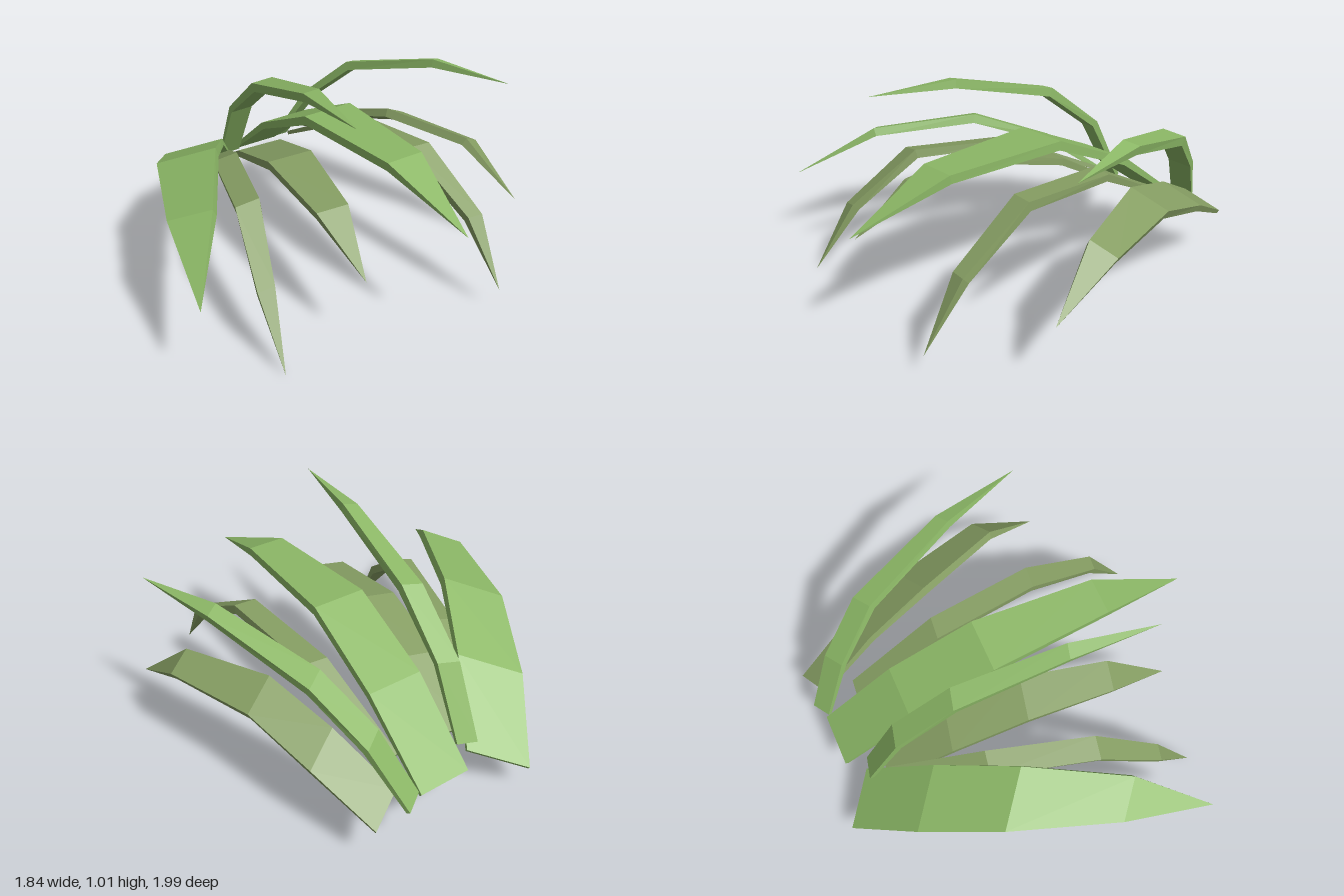
import * as THREE from 'three';

// Width and thickness of the four rings, from base to the last ring before the tip
const TAPER = [1, 1.06, 1, 0.7];
const THICKNESS = [0.02, 0.035, 0.045, 0.042];

const vec = p => new THREE.Vector3(...p);

// Spine: base, crest, shoulder, tip. Across: left-to-right vector giving width and tilt.
// Arch: how far the rise from base to crest bows outward.
function bladeGeometry(across, arch, spine) {
  const side = vec(across);
  const [base, crest, shoulder, tip] = spine.map(vec);
  const bow = crest.clone().sub(base).cross(side).normalize().multiplyScalar(arch);
  const bend = base.clone().lerp(crest, 0.5).add(bow);
  const mids = [base, bend, crest, shoulder, tip];

  // Box section: upper edges, then lower edges pushed down along the blade's normal
  const rings = TAPER.map((width, i) => {
    const half = side.clone().multiplyScalar(width / 2);
    const left = mids[i].clone().sub(half);
    const right = mids[i].clone().add(half);
    const along = mids[i + 1].clone().sub(mids[Math.max(i - 1, 0)]);
    const down = along.cross(side).normalize().multiplyScalar(-THICKNESS[i]);
    return [left, right, right.clone().add(down), left.clone().add(down)];
  });

  const corners = [];
  rings.forEach((ring, i) => {
    const next = rings[i + 1];
    for (let j = 0; j < 4; j++) {
      const k = (j + 1) % 4;
      if (next) corners.push(ring[j], next[j], next[k], ring[j], next[k], ring[k]);
      else corners.push(ring[j], tip, ring[k]);
    }
  });
  // Base cap
  const [a, b, c, d] = rings[0];
  corners.push(a, b, c, a, c, d);

  const geometry = new THREE.BufferGeometry().setFromPoints(corners);
  geometry.computeVertexNormals();
  return geometry;
}

export function createModel() {
  const group = new THREE.Group();
  group.name = 'leafCluster';
  const light = new THREE.MeshStandardMaterial({ color: 0x8cb866 });
  light.name = 'lightGreen';
  const olive = new THREE.MeshStandardMaterial({ color: 0x869e63 });
  olive.name = 'oliveGreen';

  const addBlade = (name, material, across, arch, ...spine) => {
    const mesh = new THREE.Mesh(bladeGeometry(across, arch, spine), material);
    mesh.name = name;
    group.add(mesh);
  };

  // Upper, light blades
  addBlade('wideSideBlade', light, [0.22, 0.1, 0.19], 0.06,
    [-0.08, 0.195, -0.905], [-0.515, 0.605, -0.26], [-0.75, 0.585, 0.22], [-0.92, 0.385, 0.61]);
  addBlade('tallBlade', light, [0.1, 0.02, 0.03], 0.08,
    [0.02, 0.275, -0.8], [-0.04, 0.86, -0.33], [-0.118, 1.005, 0.21], [-0.185, 1.0, 0.64]);
  addBlade('centreBlade', light, [0.266, 0.01, 0.01], 0.055,
    [0.238, 0.24, -0.89], [0.178, 0.74, -0.075], [0.16, 0.737, 0.54], [0.14, 0.555, 0.99]);
  addBlade('raisedSideBlade', light, [0.092, -0.027, -0.05], 0.05,
    [0.42, 0.242, -0.895], [0.628, 0.765, -0.495], [0.787, 0.902, 0.01], [0.885, 0.885, 0.44]);

  // Lower, olive blades
  addBlade('droopingSideBlade', olive, [0.11, 0.025, 0.025], 0.1,
    [-0.09, 0.31, -0.72], [-0.462, 0.553, 0.215], [-0.565, 0.31, 0.53], [-0.6, 0.0, 0.73]);
  addBlade('lowCentreBlade', olive, [0.207, 0.027, 0.055], 0.05,
    [0.022, 0.288, -0.71], [-0.098, 0.595, 0.005], [-0.162, 0.535, 0.445], [-0.2, 0.33, 0.75]);
  addBlade('narrowBlade', olive, [0.108, 0.003, 0.015], 0.11,
    [0.402, 0.338, -0.695], [0.448, 0.628, 0.31], [0.473, 0.41, 0.695], [0.475, 0.105, 0.89]);
  addBlade('lowSideBlade', olive, [0.165, -0.085, -0.07], 0.035,
    [0.56, 0.272, -0.875], [0.728, 0.55, -0.215], [0.862, 0.52, 0.24], [0.897, 0.295, 0.55]);

  return group;
}
